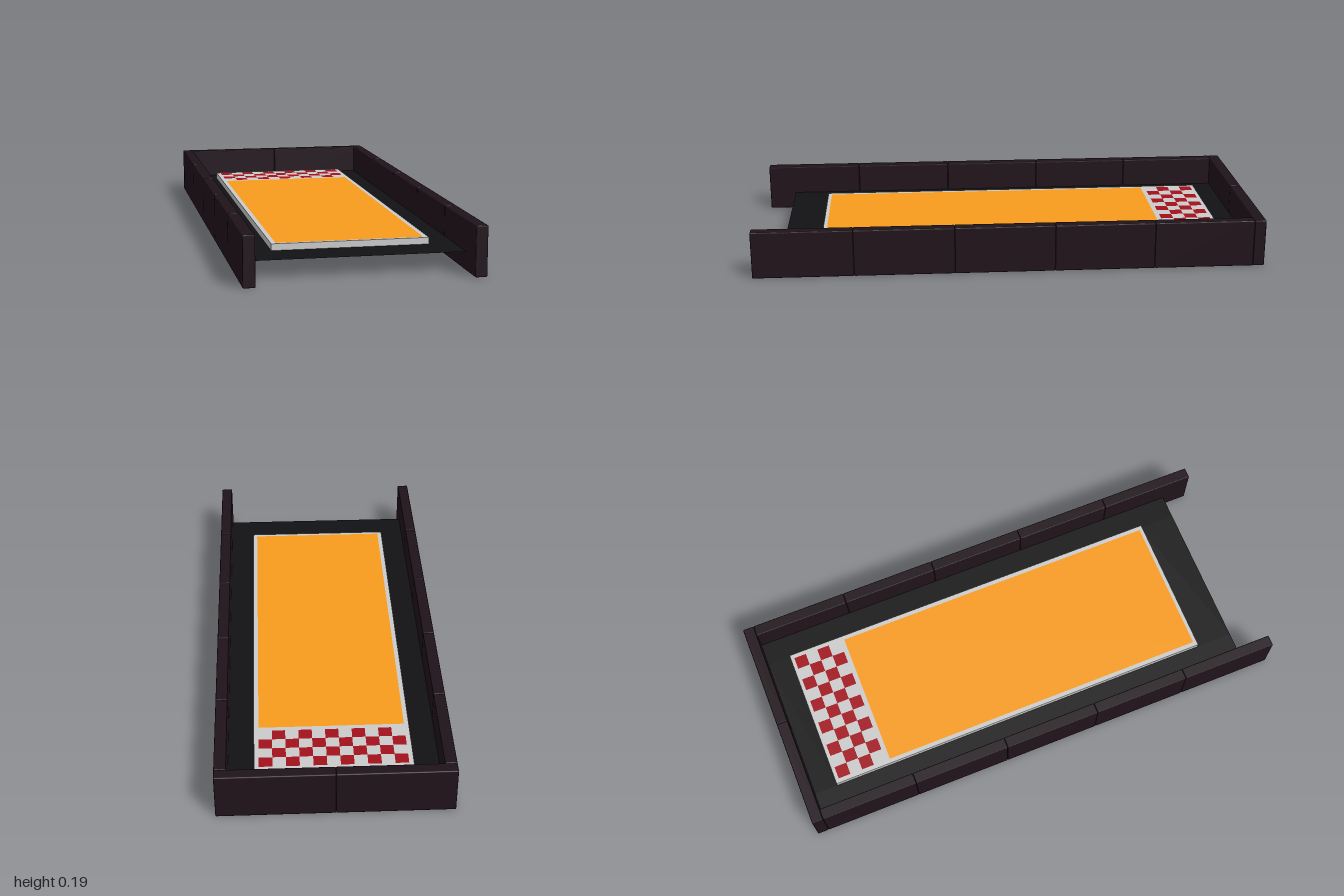
import * as THREE from 'three';
import { mergeGeometries } from 'three/addons/utils/BufferGeometryUtils.js';
import { RoundedBoxGeometry } from 'three/addons/geometries/RoundedBoxGeometry.js';

const HALF_W = 0.437, WALL = 0.045, WALL_H = 0.187;
const FLOOR_Y = 0.07, BED_Y = 0.095;
const BED = { x: 0.295, z0: -0.86, z1: 0.74 };   // raised bed outline
const PLAY = { x: 0.277, z0: -0.625, z1: 0.725 }; // coloured field
const CHECK_Z = -0.845, COLS = 11, ROWS = 4;

const mat = (color) => new THREE.MeshStandardMaterial({ color, side: THREE.DoubleSide });

// Horizontal rectangle facing up
function flat(x0, x1, z0, z1, y) {
  return new THREE.PlaneGeometry(x1 - x0, z1 - z0).rotateX(-Math.PI / 2)
    .translate((x0 + x1) / 2, y, (z0 + z1) / 2);
}

// Flat ring between an outer rectangle and an inner one
function frame(x, z0, z1, ix, iz0, iz1, y) {
  return [
    flat(-x, -ix, z0, z1, y), flat(ix, x, z0, z1, y),
    flat(-ix, ix, z0, iz0, y), flat(-ix, ix, iz1, z1, y),
  ];
}

export function createModel() {
  const model = new THREE.Group();
  const add = (name, geometry, material, parent = model) => {
    const mesh = new THREE.Mesh(geometry, material);
    mesh.name = name;
    parent.add(mesh);
    return mesh;
  };

  const wallMat = mat(0x20131a), floorMat = mat(0x121214);
  const white = mat(0xcccccc), red = mat(0xa2101b), orange = mat(0xf89b1d);

  // Walls: five panels along each side, two across the back
  const walls = new THREE.Group();
  walls.name = 'walls';
  model.add(walls);
  const panel = (name, w, d, x, z) =>
    add(name, new RoundedBoxGeometry(w, WALL_H, d, 1, 0.004), wallMat, walls)
      .position.set(x, WALL_H / 2, z);
  const sideStart = -1 + WALL, len = (1 - sideStart) / 5;
  for (const s of [-1, 1]) {
    for (let i = 0; i < 5; i++) {
      panel('sidePanel', WALL, len, s * (HALF_W - WALL / 2), sideStart + len * (i + 0.5));
    }
    panel('backPanel', HALF_W, WALL, s * HALF_W / 2, -1 + WALL / 2);
  }

  // Thin floor, open beneath the bed
  add('floor', mergeGeometries(
    frame(HALF_W - WALL, sideStart, 0.89, BED.x, BED.z0, BED.z1, FLOOR_Y)), floorMat);

  // Hollow bed: low sides and a top border
  const h = BED_Y - FLOOR_Y, my = (BED_Y + FLOOR_Y) / 2;
  const bedLen = BED.z1 - BED.z0, mz = (BED.z0 + BED.z1) / 2;
  add('bedSides', mergeGeometries([
    new THREE.PlaneGeometry(2 * BED.x, h).translate(0, my, BED.z1),
    new THREE.PlaneGeometry(2 * BED.x, h).rotateY(Math.PI).translate(0, my, BED.z0),
    new THREE.PlaneGeometry(bedLen, h).rotateY(Math.PI / 2).translate(BED.x, my, mz),
    new THREE.PlaneGeometry(bedLen, h).rotateY(-Math.PI / 2).translate(-BED.x, my, mz),
  ]), white);
  const cell = 2 * PLAY.x / COLS, checkEnd = CHECK_Z + ROWS * cell;
  add('bedBorder', mergeGeometries([
    ...frame(BED.x, BED.z0, BED.z1, PLAY.x, CHECK_Z, PLAY.z1, BED_Y),
    flat(-PLAY.x, PLAY.x, checkEnd, PLAY.z0, BED_Y),
  ]), white);
  add('field', flat(-PLAY.x, PLAY.x, PLAY.z0, PLAY.z1, BED_Y), orange);

  // Checkered band at the back end
  const tiles = [[], []];
  for (let r = 0; r < ROWS; r++) {
    for (let c = 0; c < COLS; c++) {
      const x = -PLAY.x + c * cell, z = CHECK_Z + r * cell;
      tiles[(r + c) % 2].push(flat(x, x + cell, z, z + cell, BED_Y));
    }
  }
  add('redChecks', mergeGeometries(tiles[0]), red);
  add('whiteChecks', mergeGeometries(tiles[1]), white);

  return model;
}
